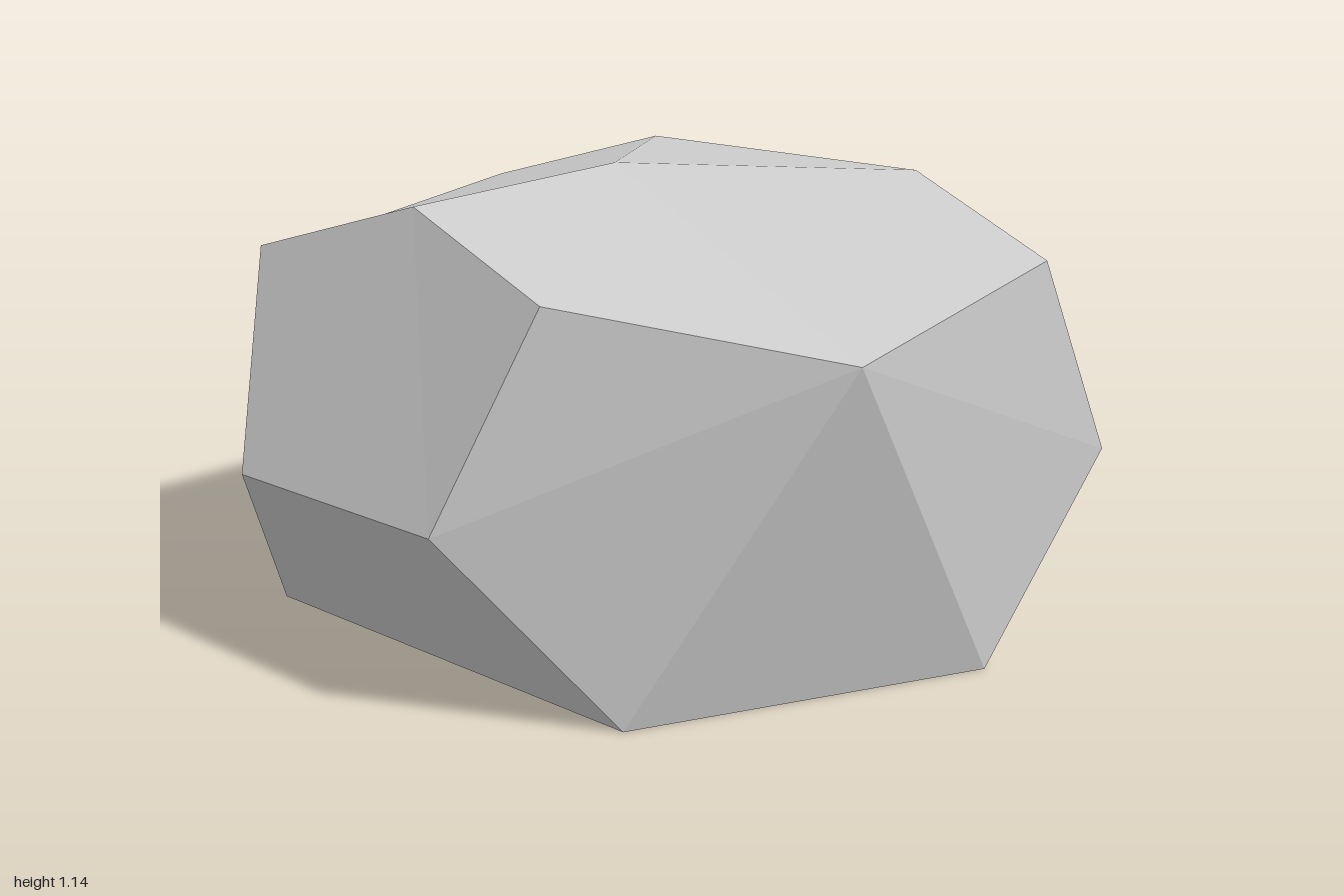
import * as THREE from 'three';

// Corners on the middle plane (x = 0) and on the left half; the right half is mirrored.
const corners = {
  crown: [0, 1.14, 0.1], frontTip: [0, 1.105, 0.74], backFoot: [0, 0, -0.87],
  frontLow: [0.345, 0.455, 1], frontHigh: [0.5, 0.96, 0.81], shoulder: [1, 0.835, 0.35],
  frontFoot: [0.625, 0, 0.69], sideFoot: [0.965, 0, -0.18],
  topBack: [0.46, 1.105, -0.51], sideHigh: [0.96, 0.96, -0.37], sideLow: [0.97, 0.455, -0.63],
  backLow: [0.42, 0.455, -1], backHigh: [0.24, 0.96, -0.91],
};

// Faces of one half; a minus sign means the mirrored corner.
const sideFaces = [
  'crown frontTip frontHigh shoulder',
  'crown shoulder sideHigh topBack',
  'frontLow frontHigh shoulder frontFoot',
  'shoulder frontFoot sideFoot',
  'shoulder sideFoot sideLow sideHigh',
  'sideLow sideFoot backFoot backLow',
  'sideHigh sideLow backLow backHigh topBack',
  'backFoot backLow backHigh',
];
// Faces that cross the middle plane.
const middleFaces = [
  'frontTip frontHigh frontLow -frontLow -frontHigh',
  'frontLow frontFoot -frontFoot -frontLow',
  'crown topBack -topBack',
  'topBack backHigh -backHigh -topBack',
  'backFoot backHigh -backHigh',
  'backFoot sideFoot frontFoot -frontFoot -sideFoot',
];

function facetedGeometry() {
  const centre = new THREE.Vector3(0, 0.5, 0);
  const positions = [];
  const addFace = (text, mirror) => {
    const points = text.split(' ').map((name) => {
      const p = new THREE.Vector3(...corners[name.replace('-', '')]);
      if (name.startsWith('-') !== mirror) p.x *= -1;
      return p;
    });
    // Fan of triangles, each turned to face outward.
    for (let i = 1; i < points.length - 1; i++) {
      const [a, b, c] = [points[0], points[i], points[i + 1]];
      const normal = b.clone().sub(a).cross(c.clone().sub(a));
      const outward = normal.dot(a.clone().sub(centre)) > 0;
      for (const p of outward ? [a, b, c] : [a, c, b]) positions.push(p.x, p.y, p.z);
    }
  };
  for (const face of sideFaces) {
    addFace(face, false);
    addFace(face, true);
  }
  for (const face of middleFaces) addFace(face, false);

  const geometry = new THREE.BufferGeometry();
  geometry.setAttribute('position', new THREE.Float32BufferAttribute(positions, 3));
  geometry.computeVertexNormals();
  return geometry;
}

export function createModel() {
  const group = new THREE.Group();
  group.name = 'facetedRock';
  const stone = new THREE.MeshStandardMaterial({ color: 0xcccccc, flatShading: true });
  stone.name = 'light grey stone';
  const body = new THREE.Mesh(facetedGeometry(), stone);
  body.name = 'rockBody';
  group.add(body);
  return group;
}
